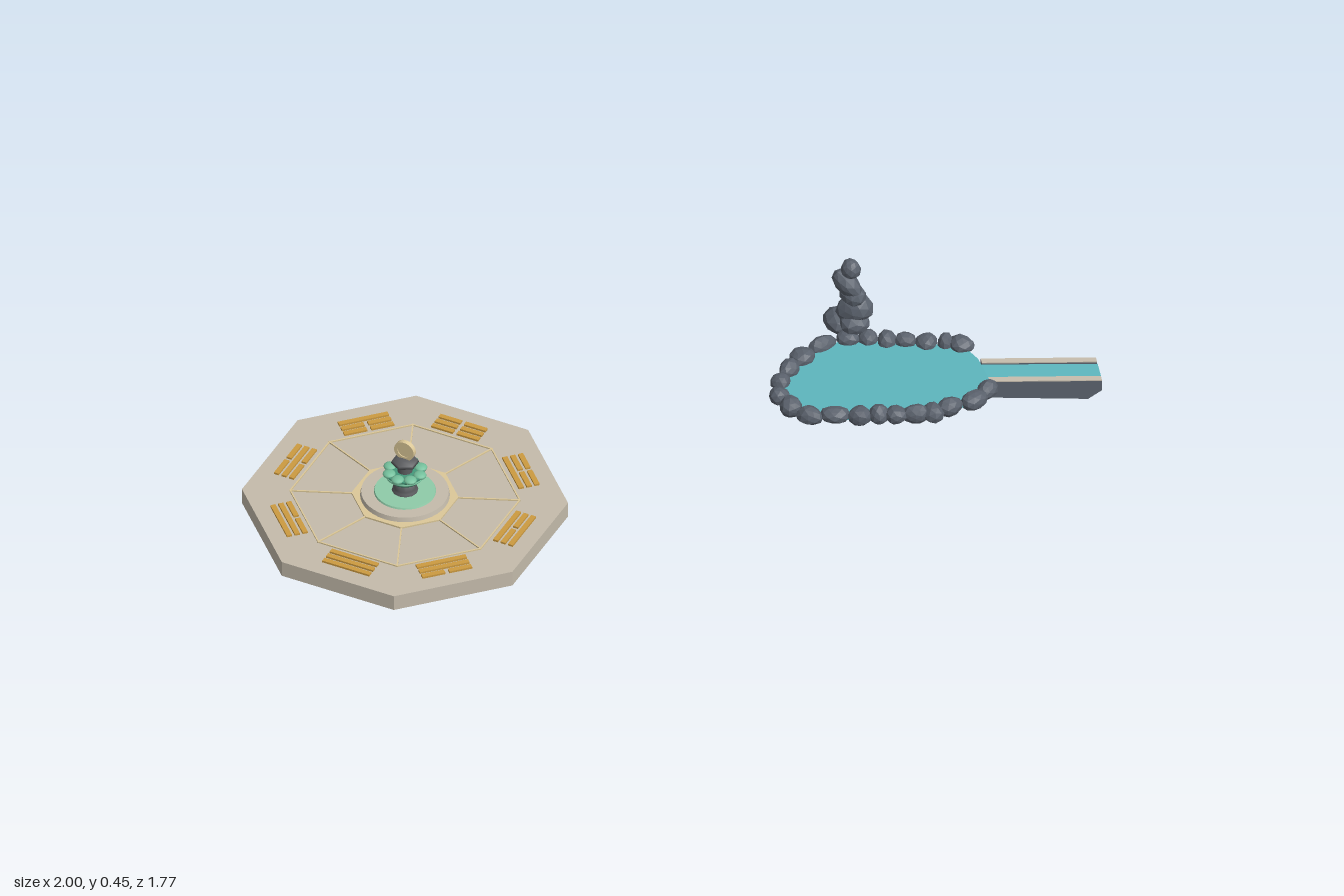
import * as THREE from 'three';

const mat = (name, color, opts = {}) => new THREE.MeshStandardMaterial({ name, color, ...opts });

export function createModel() {
  const root = new THREE.Group();
  const stone = mat('pale stone', 0xc4bbab);
  const gold = mat('gold', 0xcc9a40);
  const paleGold = mat('pale gold', 0xdcc898);
  const slate = mat('slate rock', 0x5a616c, { flatShading: true });
  const iron = mat('dark metal', 0x5a5b5e);
  const jade = mat('jade', 0x74c09c);
  const paleJade = mat('pale jade', 0x8fcba8);
  const deepJade = mat('deep jade', 0x44987a);
  const water = mat('water', 0x5db5bd, { side: THREE.DoubleSide });

  const add = (parent, name, geo, material, x = 0, y = 0, z = 0) => {
    const m = new THREE.Mesh(geo, material);
    m.name = name;
    m.position.set(x, y, z);
    parent.add(m);
    return m;
  };
  const group = (parent, name, x = 0, y = 0, z = 0) => {
    const g = new THREE.Group();
    g.name = name;
    g.position.set(x, y, z);
    parent.add(g);
    return g;
  };
  // flat shape in plan, extruded upwards
  const plan = (shape, depth) =>
    new THREE.ExtrudeGeometry(shape, { depth, bevelEnabled: false, curveSegments: 24 }).rotateX(-Math.PI / 2);
  const lathe = (pts, seg = 24) => new THREE.LatheGeometry(pts.map(p => new THREE.Vector2(...p)), seg);
  const octagon = apothem => Array.from({ length: 8 }, (_, i) => {
    const a = (i + 0.5) * Math.PI / 4, r = apothem / Math.cos(Math.PI / 8);
    return new THREE.Vector2(Math.cos(a) * r, Math.sin(a) * r);
  });
  const withHole = (shape, hole) => {
    shape.holes.push(new THREE.Path().absarc(0, 0, hole, 0, Math.PI * 2, true));
    return shape;
  };

  // ---- octagonal platform: kerb, recessed underside and a round well
  const altar = group(root, 'altar', -0.5735, 0, 0.456);
  const kerb = new THREE.Shape(octagon(0.4265));
  kerb.holes.push(new THREE.Path(octagon(0.414).reverse()));
  add(altar, 'kerb', plan(kerb, 0.049), stone, 0, 0.033, 0);
  add(altar, 'deck', plan(withHole(new THREE.Shape(octagon(0.414)), 0.105), 0.022), stone, 0, 0.06, 0);
  const collar = withHole(new THREE.Shape().absarc(0, 0, 0.112, 0, Math.PI * 2), 0.1);
  add(altar, 'wellCollar', plan(collar, 0.035), stone, 0, 0.045, 0);
  add(altar, 'daisRim', plan(withHole(new THREE.Shape(octagon(0.14)), 0.12), 0.005), paleGold, 0, 0.082, 0);
  add(altar, 'dais', new THREE.CylinderGeometry(0.124, 0.128, 0.019, 40), stone, 0, 0.0915, 0);
  add(altar, 'jadeInlay', new THREE.CylinderGeometry(0.086, 0.088, 0.005, 32), paleJade, 0, 0.1035, 0);

  // inlaid lines and three-bar signs; 1 = whole bar, 0 = broken, inner to outer
  const signs = [[1, 1, 1], [1, 1, 0], [1, 0, 1], [1, 0, 0], [0, 0, 0], [0, 0, 1], [0, 1, 0], [0, 1, 1]];
  signs.forEach((bars, i) => {
    const side = group(altar, 'platformSide');
    side.rotation.y = i * Math.PI / 4;
    bars.forEach((whole, j) => {
      const z = 0.322 + j * 0.0235;
      const w = whole ? 0.148 : 0.068;
      for (const x of whole ? [0] : [-0.04, 0.04])
        add(side, 'signBar', new THREE.BoxGeometry(w, 0.006, 0.015), gold, x, 0.085, z);
    });
    add(side, 'outlineInlay', new THREE.BoxGeometry(0.248, 0.004, 0.004), paleGold, 0, 0.084, 0.3);
    const ray = group(side, 'ray');
    ray.rotation.y = Math.PI / 8;
    add(ray, 'rayInlay', new THREE.BoxGeometry(0.004, 0.004, 0.185), paleGold, 0, 0.084, 0.235);
  });

  // ---- central lantern
  const lantern = group(altar, 'lantern');
  add(lantern, 'footCup', lathe([[0, 0], [0.024, 0], [0.028, 0.015], [0.035, 0.035], [0.035, 0.082], [0, 0.085]]), jade);
  add(lantern, 'pedestal', lathe([[0.038, 0.105], [0.036, 0.113], [0.032, 0.118], [0.03, 0.15], [0, 0.15]], 12), iron);
  add(lantern, 'bowl', lathe([[0.03, 0.145], [0.045, 0.147], [0.05, 0.158], [0.056, 0.168], [0.056, 0.174],
    [0, 0.174]]), deepJade);
  add(lantern, 'bowlBand', new THREE.TorusGeometry(0.052, 0.004, 6, 28).rotateX(Math.PI / 2), jade, 0, 0.16, 0);
  for (let i = 0; i < 8; i++) {
    const a = i * Math.PI / 4;
    add(lantern, 'petal', new THREE.SphereGeometry(0.019, 12, 8), jade,
      Math.cos(a) * 0.047, 0.173, Math.sin(a) * 0.047).scale.y = 0.5;
  }
  add(lantern, 'neck', new THREE.CylinderGeometry(0.02, 0.022, 0.036, 12), iron, 0, 0.188, 0);
  add(lantern, 'cap', lathe([[0, 0.2], [0.04, 0.203], [0.037, 0.211], [0.02, 0.22], [0, 0.222]], 6), iron);
  const hoop = withHole(new THREE.Shape().absarc(0, 0, 0.031, 0, Math.PI * 2), 0.02);
  add(lantern, 'ring', new THREE.ExtrudeGeometry(hoop, { depth: 0.014, bevelEnabled: false, curveSegments: 20 }),
    paleGold, 0, 0.246, -0.007);
  add(lantern, 'ringDisc', new THREE.CylinderGeometry(0.021, 0.021, 0.008, 24).rotateX(Math.PI / 2), paleGold, 0, 0.246, 0);

  // ---- rocks: a faceted ball with soft lumps and a flattened base
  const rock = (parent, name, seed, x, y, z, sx, sy, sz, ry = 0, rz = 0) => {
    const g = new THREE.IcosahedronGeometry(1.06, 1);
    const p = g.attributes.position, v = new THREE.Vector3();
    for (let i = 0; i < p.count; i++) {
      v.fromBufferAttribute(p, i);
      v.multiplyScalar(1 + 0.09 * Math.sin(2.6 * v.x + seed * 1.7) + 0.08 * Math.sin(3.1 * v.z + seed * 2.9)
        + 0.06 * Math.sin(2.8 * v.y + seed * 4.1));
      p.setXYZ(i, v.x, Math.max(v.y, -0.85), v.z);
    }
    g.computeVertexNormals();
    const m = add(parent, name, g, slate, x, y, z);
    m.scale.set(sx, sy, sz);
    m.rotation.set(0, ry, rz);
  };

  // ---- pool
  const pool = group(root, 'pool');
  const shore = [[0.22, -0.29], [0.21, -0.4], [0.225, -0.51], [0.28, -0.59], [0.36, -0.63], [0.46, -0.665],
    [0.55, -0.705], [0.61, -0.72], [0.665, -0.69], [0.735, -0.62], [0.745, -0.55], [0.73, -0.49],
    [0.68, -0.43], [0.6, -0.36], [0.5, -0.305], [0.41, -0.265], [0.34, -0.25], [0.27, -0.255]];
  const outline = new THREE.Shape(shore.map(([x, z]) => new THREE.Vector2(x, -z)));
  add(pool, 'poolWater', plan(outline, 0.008), water, 0, 0.194, 0);

  // x, z, length along the shore; listed round the edge from the channel
  const edge = [[0.6, -0.72, 0.034], [0.55, -0.715, 0.024], [0.5, -0.688, 0.029], [0.447, -0.67, 0.026],
    [0.4, -0.649, 0.03], [0.345, -0.632, 0.027], [0.295, -0.605, 0.032], [0.245, -0.55, 0.04],
    [0.218, -0.475, 0.04], [0.212, -0.4, 0.036], [0.212, -0.345, 0.026], [0.237, -0.288, 0.026],
    [0.29, -0.252, 0.036], [0.357, -0.248, 0.036], [0.42, -0.273, 0.036], [0.48, -0.304, 0.034],
    [0.53, -0.335, 0.03], [0.575, -0.355, 0.028], [0.62, -0.38, 0.034], [0.66, -0.41, 0.032],
    [0.695, -0.455, 0.036], [0.742, -0.515, 0.041], [0.75, -0.57, 0.032]];
  edge.forEach(([x, z, len], i) => {
    const a = edge[Math.max(i - 1, 0)], b = edge[Math.min(i + 1, edge.length - 1)];
    rock(pool, 'edgeRock', i, x, 0.205, z, len, 0.027, 0.028, Math.atan2(-(b[1] - a[1]), b[0] - a[0]));
  });

  // ---- stacked rock pile
  const pile = group(root, 'rockPile', 0.275, 0, -0.652);
  rock(pile, 'baseRock', 31, -0.015, 0.223, 0, 0.056, 0.035, 0.046);
  rock(pile, 'baseRock', 32, 0.025, 0.24, 0.01, 0.042, 0.032, 0.042, 0.6);
  rock(pile, 'lowerRock', 33, 0.016, 0.283, 0, 0.048, 0.042, 0.042, 0.4, 0.3);
  rock(pile, 'middleRock', 34, 0.012, 0.325, -0.003, 0.036, 0.032, 0.034, 1, 0.2);
  rock(pile, 'upperRock', 35, 0, 0.362, 0.003, 0.05, 0.027, 0.034, 0, -0.7);
  rock(pile, 'topRock', 36, 0.006, 0.418, 0, 0.026, 0.033, 0.024);

  // ---- sloping outflow channel, drawn as a side profile
  const channel = group(root, 'channel', 0.701, 0, -0.653);
  channel.rotation.y = Math.atan2(0.193, 0.267);
  const profile = (name, pts, width, z, material) => add(channel, name,
    new THREE.ExtrudeGeometry(new THREE.Shape(pts.map(p => new THREE.Vector2(...p))),
      { depth: width, bevelEnabled: false }), material, 0, 0, z - width / 2);
  profile('channelFloor', [[0, 0.142], [0.29, 0.1], [0.33, 0.126], [0.33, 0.138], [0, 0.176]], 0.07, 0, slate);
  profile('channelWater', [[-0.03, 0.177], [0.332, 0.135], [0.332, 0.154], [0, 0.194], [-0.03, 0.2]], 0.069, 0, water);
  for (const s of [-1, 1]) {
    profile('channelWall', [[0, 0.142], [0.29, 0.1], [0.33, 0.126], [0.33, 0.16], [0, 0.198]], 0.018, s * 0.043, slate);
    profile('channelCap', [[0, 0.198], [0.33, 0.16], [0.33, 0.163], [0, 0.201]], 0.02, s * 0.043, stone);
  }
  return root;
}
